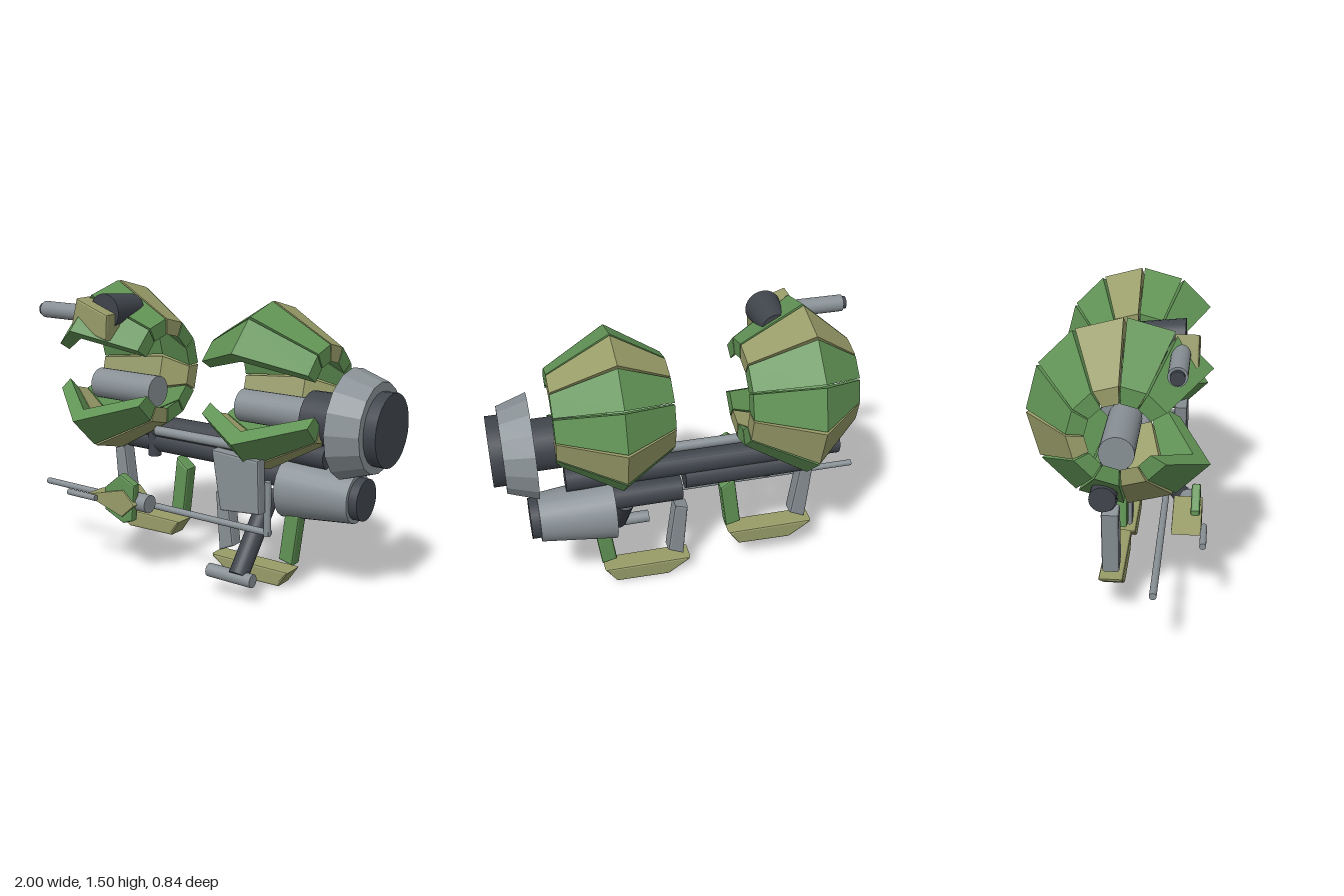
import * as THREE from 'three';

const material = (name, color, flatShading = false) => {
  const m = new THREE.MeshStandardMaterial({ color, flatShading });
  m.name = name;
  return m;
};

export function createModel() {
  const model = new THREE.Group();
  const green = material('green armour', 0x619355, true);
  const tan = material('tan armour', 0x989c68, true);
  const dark = material('dark metal', 0x40454c);
  const grey = material('light metal', 0x889095);
  const add = (name, geometry, mat, parent = model) => {
    const mesh = new THREE.Mesh(geometry, mat);
    mesh.name = name;
    parent.add(mesh);
    return mesh;
  };

  // Round bar between two points, optionally tapered
  const bar = (name, a, b, r0, mat, r1 = r0, sides = 24) => {
    const from = new THREE.Vector3(...a), to = new THREE.Vector3(...b);
    const dir = to.clone().sub(from);
    const geo = new THREE.CylinderGeometry(r1, r0, dir.length(), sides);
    const flat = sides < 20 ? geo.toNonIndexed() : geo;
    if (sides < 20) flat.computeVertexNormals();
    const mesh = add(name, flat, mat);
    mesh.position.copy(from).lerp(to, 0.5);
    mesh.quaternion.setFromUnitVectors(new THREE.Vector3(0, 1, 0), dir.normalize());
    return mesh;
  };

  // Front outline given depth from z0 to z1, with small bevelled edges
  const plate = (name, points, z0, z1, mat, b = 0.01) => {
    const shape = new THREE.Shape(points.map(p => new THREE.Vector2(...p)));
    const geo = new THREE.ExtrudeGeometry(shape, {
      depth: z1 - z0 - 2 * b, bevelThickness: b, bevelSize: b, bevelOffset: -b, bevelSegments: 2
    });
    geo.translate(0, 0, z0 + b);
    return add(name, geo, mat);
  };

  // One armour wedge: a bent, thick cross-section [x, radius] swept round x
  const wedge = (profile, a0, a1) => {
    const at = (i, a) => {
      const [x, r] = profile[i];
      return [x, 1.05 + r * Math.sin(a), 0.025 - r * Math.cos(a)];
    };
    const pos = [];
    const quad = (a, b, c, d) => pos.push(...a, ...b, ...c, ...a, ...c, ...d);
    for (let i = 0; i < 6; i++) {
      const j = (i + 1) % 6;
      quad(at(i, a0), at(i, a1), at(j, a1), at(j, a0));
    }
    for (const [i, j, k, l] of [[0, 1, 4, 5], [1, 2, 3, 4]]) {
      quad(at(i, a0), at(j, a0), at(k, a0), at(l, a0));
      quad(at(l, a1), at(k, a1), at(j, a1), at(i, a1));
    }
    const geo = new THREE.BufferGeometry();
    geo.setAttribute('position', new THREE.Float32BufferAttribute(pos, 3));
    geo.computeVertexNormals();
    return geo;
  };

  // Armour shells: ten of twelve wedges, open at the front
  const shell = (name, left, peak, right) => {
    const group = new THREE.Group();
    group.name = name;
    const inner = ([x, r], t) => [x, r - t];
    const profile = [left, peak, right, inner(right, 0.08), inner(peak, 0.095), inner(left, 0.08)];
    const rad = Math.PI / 180;
    for (let deg = -150; deg < 150; deg += 30) {
      const mat = [-120, -30, 60].includes(deg) ? tan : green;
      add('armourSegment', wedge(profile, (deg + 1) * rad, (deg + 29) * rad), mat, group);
    }
    model.add(group);
  };
  shell('rightShell', [-0.83, 0.235], [-0.58, 0.455], [-0.27, 0.275]);
  shell('leftShell', [0.11, 0.25], [0.375, 0.415], [0.69, 0.238]);

  // Drums inside the shells and main thruster
  bar('rightDrum', [-0.75, 0.93, 0], [-0.35, 0.93, 0], 0.082, grey);
  bar('leftDrum', [0.19, 0.93, 0], [0.6, 0.93, 0], 0.082, grey);
  bar('thrusterShaft', [0.58, 0.92, -0.01], [0.8, 0.92, -0.01], 0.13, dark);
  bar('thrusterRing', [0.79, 0.918, -0.01], [0.94, 0.918, -0.01], 0.268, grey, 0.218, 16);
  bar('thrusterCore', [0.93, 0.915, -0.01], [1, 0.915, -0.01], 0.176, dark);

  // Lower engine
  bar('engineBody', [0.42, 0.53, -0.09], [0.8, 0.53, -0.09], 0.165, grey, 0.125);
  bar('engineNozzle', [0.79, 0.53, -0.09], [0.845, 0.53, -0.09], 0.105, dark);
  bar('engineShaft', [0.06, 0.58, -0.08], [0.45, 0.58, -0.08], 0.065, dark);

  // Spine bars joining the two halves
  bar('spine', [-0.79, 0.72, -0.06], [0.65, 0.72, -0.06], 0.062, dark);
  bar('lowerSpine', [-0.64, 0.64, -0.07], [0.04, 0.64, -0.07], 0.062, dark);
  bar('spineTube', [-0.31, 0.735, 0.065], [0.18, 0.735, 0.065], 0.026, grey);
  bar('spinePeg', [-0.41, 0.56, -0.04], [-0.41, 0.72, -0.04], 0.035, dark);

  // Skids: a pair of legs over each foot
  for (const [side, dx, dy] of [['left', 0, 0], ['right', -0.683, 0.13]]) {
    const move = points => points.map(([x, y]) => [x + dx, y + dy]);
    plate(side + 'Foot', move([[0.01, 0.1], [0.015, 0.085], [0.13, 0.005], [0.42, 0.012], [0.48, 0.1]]),
      -0.1, 0.018, tan, 0.012);
    plate(side + 'InnerLeg', move([[0.02, 0.44], [0.09, 0.465], [0.13, 0.16], [0.045, 0.12]]),
      -0.085, 0, grey, 0.012);
    plate(side + 'OuterLeg', move([[0.45, 0.455], [0.525, 0.4], [0.49, 0.135], [0.41, 0.155]]),
      -0.08, 0, green, 0.012);
  }

  // Kickstand
  bar('kickstand', [0.345, 0.5, -0.03], [0.345, 0.14, 0.265], 0.05, dark);
  bar('kickstandFoot', [0.17, 0.132, 0.265], [0.43, 0.132, 0.265], 0.034, grey);

  // Hanging panel, with the long rod and its strut
  plate('panel', [[0.19, 0.76], [0.455, 0.745], [0.465, 0.48], [0.24, 0.46]], 0.208, 0.275, grey);
  bar('longRod', [-1, 0.365, 0.185], [0.475, 0.365, 0.185], 0.017, grey);
  bar('rodStrut', [0.46, 0.35, 0.188], [0.46, 0.625, 0.188], 0.018, grey);

  // Small lower gun
  plate('lowerGunBody', [[-0.55, 0.42], [-0.5, 0.405], [-0.3, 0.345], [-0.215, 0.42], [-0.29, 0.49], [-0.5, 0.435]],
    0.237, 0.38, tan, 0.006);
  plate('lowerGunFin', [[-0.42, 0.48], [-0.31, 0.57], [-0.22, 0.525], [-0.24, 0.33], [-0.3, 0.308], [-0.42, 0.36]],
    0.325, 0.37, green);
  bar('lowerGunBarrel', [-0.65, 0.42, 0.392], [-0.46, 0.42, 0.392], 0.016, grey);
  bar('lowerGunCap', [-0.27, 0.42, 0.307], [-0.17, 0.42, 0.307], 0.047, grey);

  // Upper gun on the right shell
  plate('upperGunBody', [[-0.59, 1.44], [-0.39, 1.37], [-0.4, 1.24], [-0.63, 1.3]], 0.24, 0.35, tan);
  bar('upperGunBarrel', [-0.88, 1.355, 0.27], [-0.58, 1.355, 0.27], 0.043, grey);
  bar('upperGunTip', [-0.9, 1.355, 0.27], [-0.87, 1.355, 0.27], 0.032, dark);
  bar('upperGunDrum', [-0.46, 1.375, 0.06], [-0.46, 1.375, 0.285], 0.07, dark, 0.092);

  return model;
}
